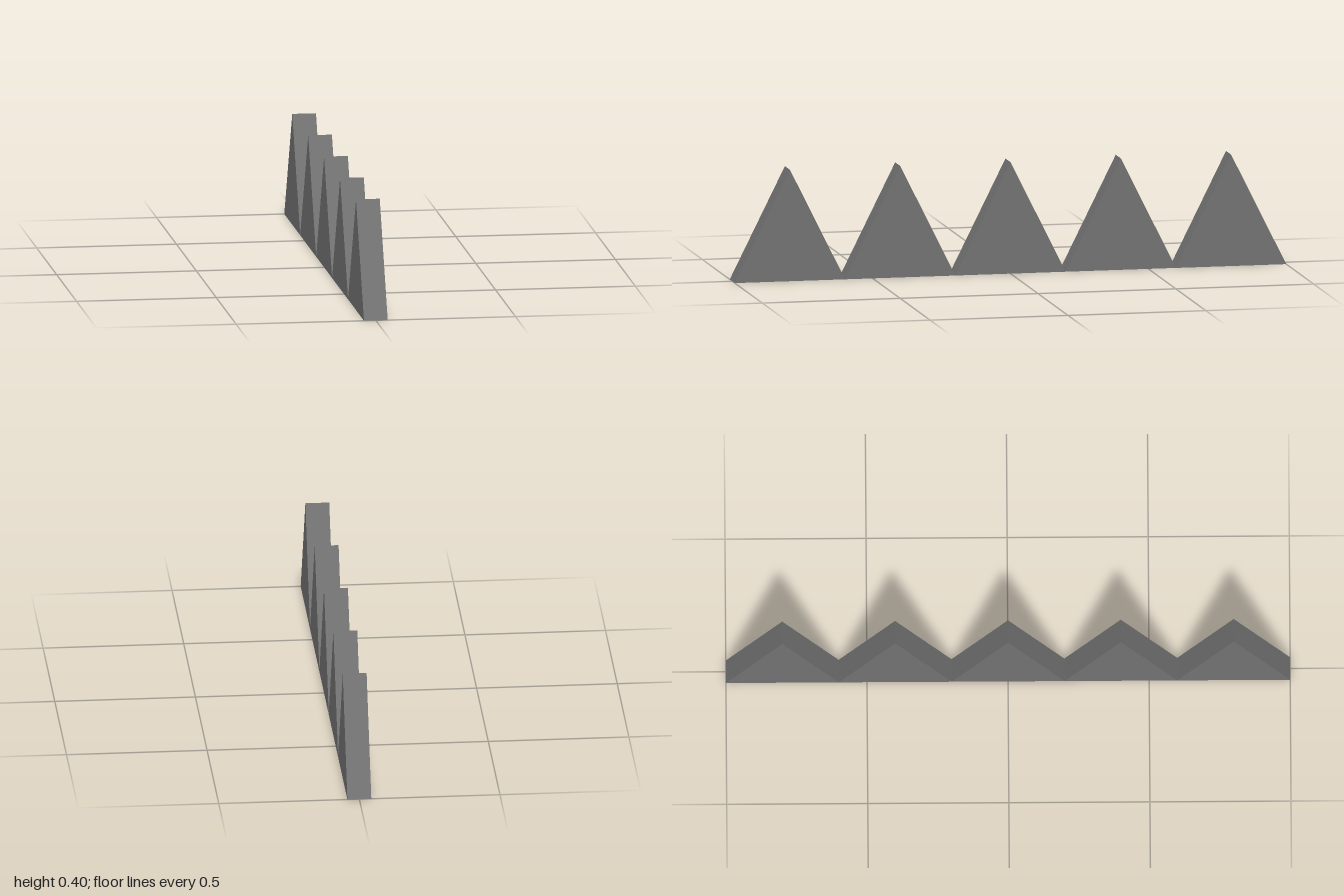
import * as THREE from 'three';

const COUNT = 5;       // teeth in the row
const PITCH = 0.4;     // base length of one tooth
const HEIGHT = 0.4;
const THICKNESS = 0.085;

export function createModel() {
  const group = new THREE.Group();
  group.name = 'toothedStrip';
  const material = new THREE.MeshStandardMaterial({ color: 0x727272, flatShading: true });

  // Triangular tooth profile, extruded across the strip's thickness
  const profile = new THREE.Shape([
    new THREE.Vector2(-PITCH / 2, 0),
    new THREE.Vector2(PITCH / 2, 0),
    new THREE.Vector2(0, HEIGHT),
  ]);
  const geometry = new THREE.ExtrudeGeometry(profile, { depth: THICKNESS, bevelEnabled: false });
  geometry.translate(0, 0, -THICKNESS / 2);
  geometry.rotateY(Math.PI / 2);

  // Row of teeth along z, touching at their base corners
  for (let i = 0; i < COUNT; i++) {
    const tooth = new THREE.Mesh(geometry, material);
    tooth.name = `tooth${i + 1}`;
    tooth.position.z = ((COUNT - 1) / 2 - i) * PITCH;
    group.add(tooth);
  }
  return group;
}
